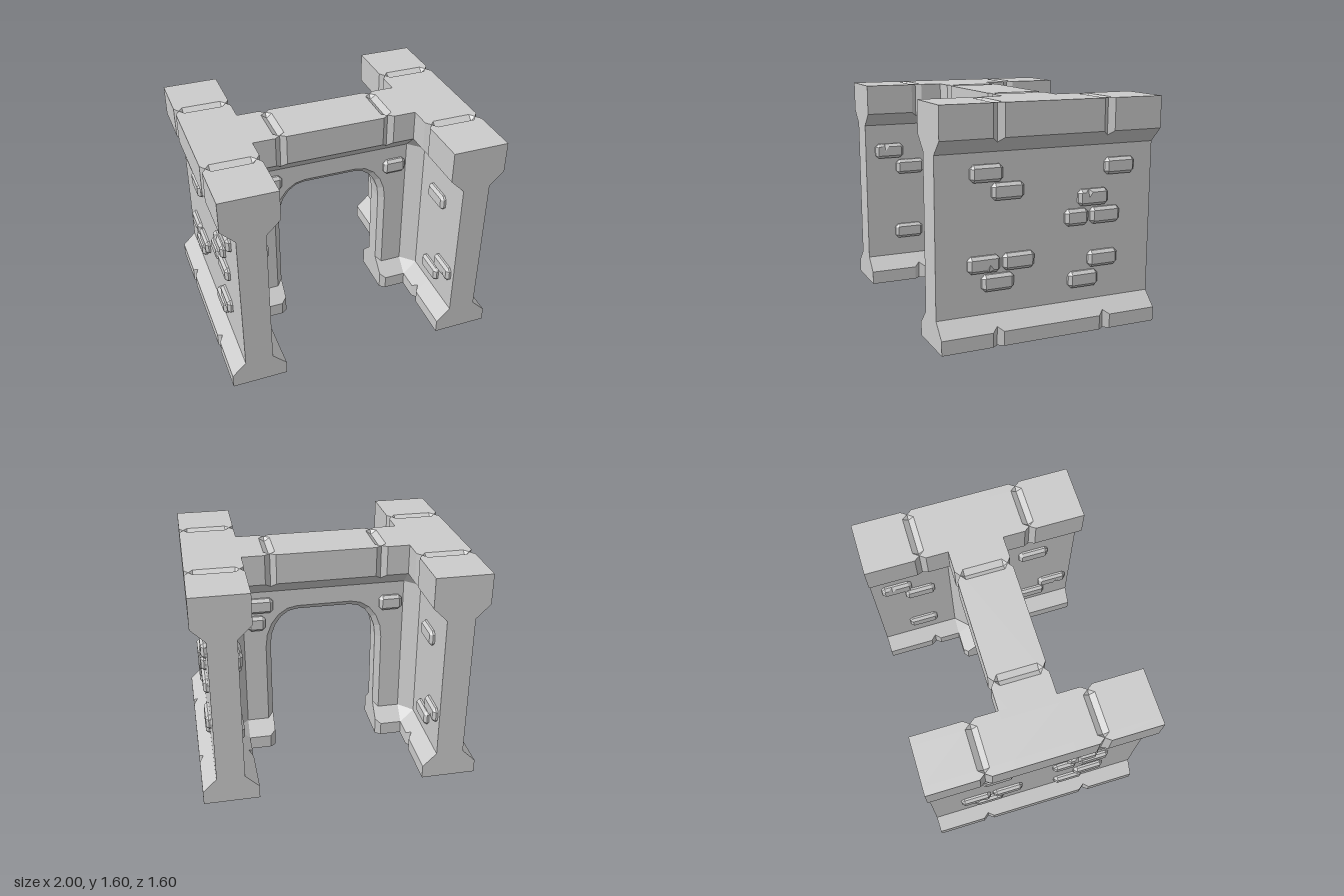
import * as THREE from 'three';

const material = new THREE.MeshStandardMaterial({ color: 0xcccccc, flatShading: true, side: THREE.DoubleSide });
const V = (x, y, z) => new THREE.Vector3(x, y, z);

function mesh(name, geometry, parent) {
  const m = new THREE.Mesh(geometry, material);
  m.name = name;
  parent.add(m);
  return m;
}

// Joins neighbouring rows of points with quads, each split along its shorter diagonal
function loft(rows, skip = () => false) {
  const pts = [];
  for (let i = 0; i < rows.length - 1; i++) {
    for (let j = 0; j < rows[i].length - 1; j++) {
      if (skip(i, j)) continue;
      const a = rows[i][j], b = rows[i][j + 1], c = rows[i + 1][j + 1], d = rows[i + 1][j];
      if (a.distanceTo(c) < b.distanceTo(d)) pts.push(a, b, c, a, c, d);
      else pts.push(a, b, d, b, c, d);
    }
  }
  const g = new THREE.BufferGeometry().setFromPoints(pts);
  g.computeVertexNormals();
  return g;
}

const flat = (pts) => new THREE.ShapeGeometry(new THREE.Shape(pts.map((p) => new THREE.Vector2(p.x, p.y))));

// Shared section of every wall: flared plinth, slim body, flared top; cut in by a V groove at |w| = 0.4
function section(w) {
  const cut = Math.abs(Math.abs(w) - 0.4) < 1e-6 ? 0.03 : 0;
  const half = [
    [0.2 - cut, 0], [0.2 - cut, 0.1 + cut], [0.1, 0.2], [0.1, 1.28],
    [0.2 - cut, 1.38 - cut], [0.2 - cut, 1.6], [0.14, 1.6 - cut],
  ];
  const right = half.map(([u, v]) => V(u, v, w));
  const left = half.map(([u, v]) => V(-u, v, w)).reverse();
  return [...right, ...left];
}

// Block with chamfered corners, facing +z; chip = 1 dents its top edge, -1 its bottom edge
function brick(parent, x, y, z, turn, w, h, chip = 0) {
  const ring = (inset, corner, depth, dent) => {
    const a = w / 2 - inset, b = h / 2 - inset, k = corner;
    const pts = [[a, -b + k], [a, b - k], [a - k, b]];
    if (chip) pts.push([-0.01, b], [-0.037, b - dent], [-0.064, b]);
    pts.push([-a + k, b], [-a, b - k], [-a, -b + k], [-a + k, -b], [a - k, -b]);
    return pts.map(([px, py]) => V(px, py, depth));
  };
  const rings = [ring(0, 0.025, 0, 0), ring(0, 0.025, 0.015, 0), ring(0.021, 0.003, 0.035, 0.035)];
  const g = new THREE.Group();
  g.name = 'brick';
  mesh('brickSides', loft(rings.map((r) => [...r, r[0]].reverse())), g);
  mesh('brickFace', flat(rings[2]), g).position.z = 0.035;
  g.rotation.set(0, turn, chip < 0 ? Math.PI : 0, 'YXZ');
  g.position.set(x, y, z);
  parent.add(g);
}

// Half of the arch opening from the foot up to the crown, on the +x side
function archHalf(grow, footY) {
  const pts = [[0.4 + grow, footY]];
  for (let i = 0; i <= 5; i++) {
    const t = (i / 5) * Math.PI / 2;
    pts.push([0.2 + (0.2 + grow) * Math.cos(t), 0.83 + (0.28 + grow) * Math.sin(t)]);
  }
  return pts;
}
function archLine(grow, footY, z) {
  const half = archHalf(grow, footY);
  return [...half, ...half.map(([x, y]) => [-x, y]).reverse()].map(([x, y]) => V(x, y, z));
}

// One side wall with its half of the archway; the other half is this turned by 180 degrees
function buildHalf() {
  const g = new THREE.Group();
  g.name = 'gateHalf';

  // Side wall, open below and open where the crossing wall joins
  const stations = [-0.8, -0.44, -0.4, -0.36, -0.2, 0.2, 0.36, 0.4, 0.44, 0.8];
  mesh('sideWall', loft(stations.map(section), (i, j) => i === 4 && j >= 8), g).position.x = 0.8;
  for (const s of [1, -1]) {
    const cap = mesh('sideWallEnd', flat(section(0.8)), g);
    cap.position.set(0.8, 0, 0.8 * s);
    if (s < 0) cap.rotation.y = Math.PI;
  }

  // Plinth of the crossing wall beside the opening
  const feet = [0.4, 0.44, 0.6].map((w) => {
    const p = section(w);
    if (w === 0.4) {
      p[2].set(0.065, 0.235, w);
      p[11].set(-0.065, 0.235, w);
    }
    return [p[0], p[1], p[2], p[11], p[12], p[13]];
  });
  mesh('archPlinth', loft(feet, (i, j) => j === 2), g).rotation.y = Math.PI / 2;
  const foot = mesh('archPlinthEnd', flat(feet[0]), g);
  foot.rotation.y = -Math.PI / 2;
  foot.position.x = 0.4;

  // Face of the crossing wall, arch bevel and arch soffit
  const rim = archLine(0.04, 0.2, 0.1);
  mesh('archWall', flat([V(0.6, 0.2, 0), V(0.6, 1.28, 0), V(-0.6, 1.28, 0), V(-0.6, 0.2, 0), ...rim.slice().reverse()]), g).position.z = 0.1;
  const lip = archLine(0, 0.235, 0.065);
  mesh('archBevel', loft([lip, rim]), g);
  mesh('archSoffit', loft([lip.map((p) => V(p.x, p.y, 0)), lip]), g);

  // Chamfered inner corners between the walls
  for (const s of [1, -1]) {
    const rows = [
      [V(0.6 * s, 1.38, 0.2), V(0.7 * s, 1.28, 0.2), V(0.7 * s, 0.2, 0.2), V(0.6 * s, 0.1, 0.2)],
      [V(0.6 * s, 1.38, 0.2), V(0.6 * s, 1.28, 0.1), V(0.6 * s, 0.2, 0.1), V(0.6 * s, 0.1, 0.2)],
    ];
    mesh('cornerChamfer', loft(s > 0 ? rows.reverse() : rows), g);
  }

  // Bricks on the outer face: z, y, chip, width
  const outer = [
    [0.45, 1.145], [0.3, 1.02], [-0.535, 1.13], [-0.335, 0.925, 1], [-0.21, 0.795, 0, 0.175], [-0.43, 0.795],
    [0.47, 0.545, -1], [0.22, 0.545], [0.37, 0.415], [-0.42, 0.49], [-0.27, 0.355],
  ];
  for (const [z, y, chip = 0, w = 0.228] of outer) brick(g, 0.9, y, z, Math.PI / 2, w, 0.115, chip);

  // Bricks on the opposite inner face
  const inner = [[0.61, 1.07, 1], [0.44, 0.935], [0.46, 0.4], [-0.47, 1.03], [-0.65, 0.5, -1], [-0.47, 0.36]];
  for (const [z, y, chip = 0] of inner) brick(g, -0.7, y, z, Math.PI / 2, 0.228, 0.115, chip);

  // Bricks beside the arch
  for (const [x, y, w] of [[-0.475, 1.175, 0.19], [-0.505, 1.035, 0.13], [0.5, 1.12, 0.17]]) {
    brick(g, x, y, 0.1, 0, w, 0.115);
  }
  return g;
}

export function createModel() {
  const model = new THREE.Group();
  model.name = 'stoneGateway';

  const half = buildHalf();
  const other = half.clone();
  other.rotation.y = Math.PI;
  model.add(half, other);

  // Grooved beam over the arch
  const beam = [-0.6, -0.44, -0.4, -0.36, 0.36, 0.4, 0.44, 0.6].map((w) => section(w).slice(3, 11));
  mesh('archBeam', loft(beam), model).rotation.y = Math.PI / 2;
  return model;
}
